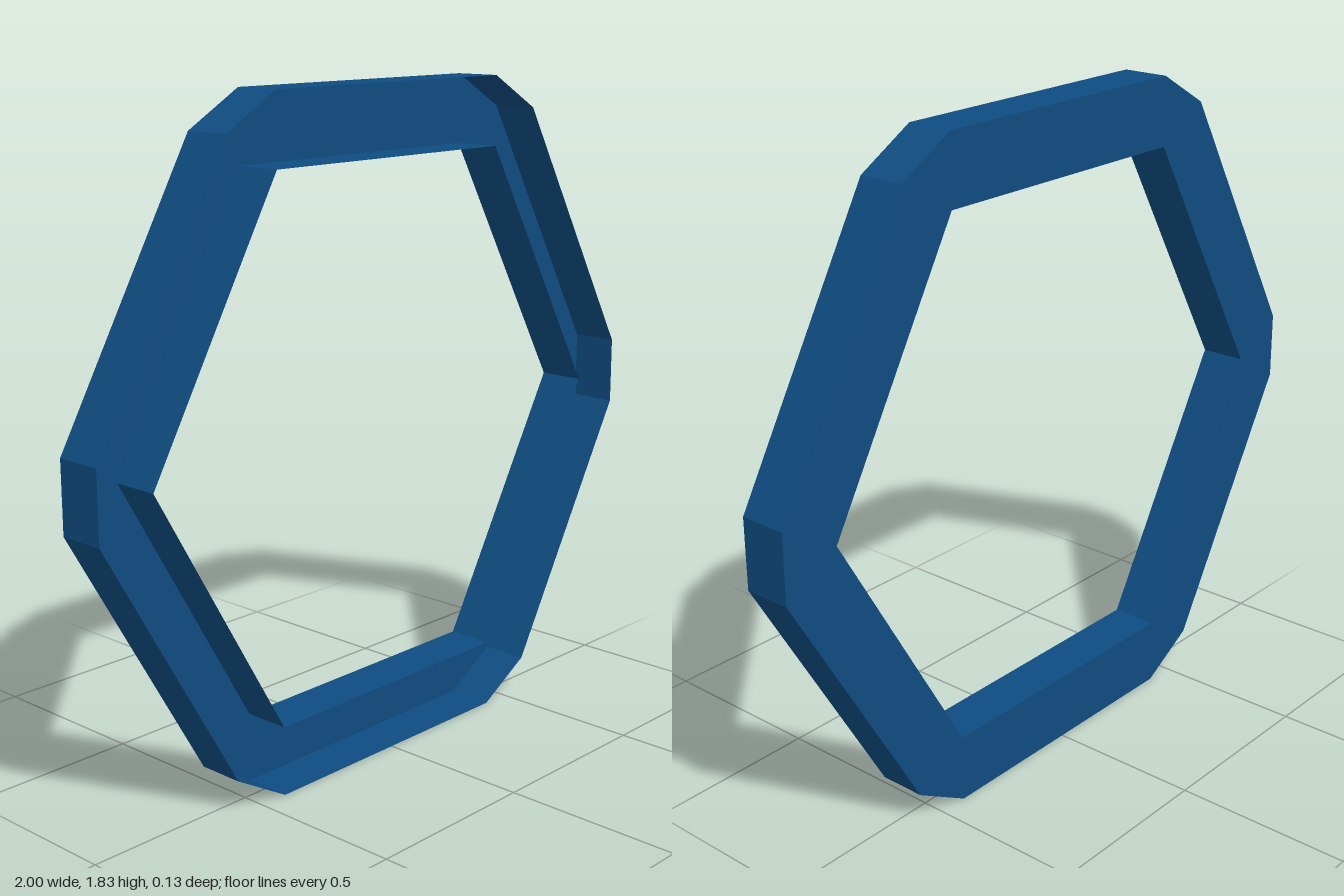
import * as THREE from 'three';

const HALF_DEPTH = 0.066, CENTRE_Y = 0.915;
const OUTER_APOTHEM = 0.915, HALF_BAR = 0.418, INNER_RADIUS = 0.836;

// Open band of flat panels that extrudes a closed outline along z
function wall(name, points, material) {
  const pos = [];
  points.forEach((a, i) => {
    const b = points[(i + 1) % points.length], d = HALF_DEPTH;
    pos.push(a.x, a.y, -d, b.x, b.y, -d, b.x, b.y, d);
    pos.push(a.x, a.y, -d, b.x, b.y, d, a.x, a.y, d);
  });
  const geometry = new THREE.BufferGeometry();
  geometry.setAttribute('position', new THREE.Float32BufferAttribute(pos, 3));
  geometry.computeVertexNormals();
  const mesh = new THREE.Mesh(geometry, material);
  mesh.name = name;
  return mesh;
}

export function createModel() {
  const group = new THREE.Group();
  group.name = 'hexagonalChannelFrame';
  const material = new THREE.MeshStandardMaterial({
    color: 0x0f4c81, flatShading: true, side: THREE.DoubleSide,
  });

  // Six straight bars with bevelled corners outside, a plain hexagon inside
  const outer = [], inner = [];
  const origin = new THREE.Vector2();
  for (let i = 0; i < 6; i++) {
    const angle = i * Math.PI / 3;
    for (const x of [HALF_BAR, -HALF_BAR]) {
      outer.push(new THREE.Vector2(x, OUTER_APOTHEM).rotateAround(origin, angle));
    }
    inner.push(new THREE.Vector2(INNER_RADIUS, 0).rotateAround(origin, angle));
  }

  // Back plate closing the channel; the front stays open
  const shape = new THREE.Shape(outer);
  shape.holes.push(new THREE.Path(inner));
  const backPlate = new THREE.Mesh(new THREE.ShapeGeometry(shape), material);
  backPlate.name = 'backPlate';
  backPlate.rotation.y = Math.PI;
  backPlate.position.z = -HALF_DEPTH;

  group.add(
    backPlate,
    wall('outerWall', outer, material),
    wall('innerWall', [...inner].reverse(), material),
  );
  group.children.forEach((part) => { part.position.y = CENTRE_Y; });
  return group;
}
